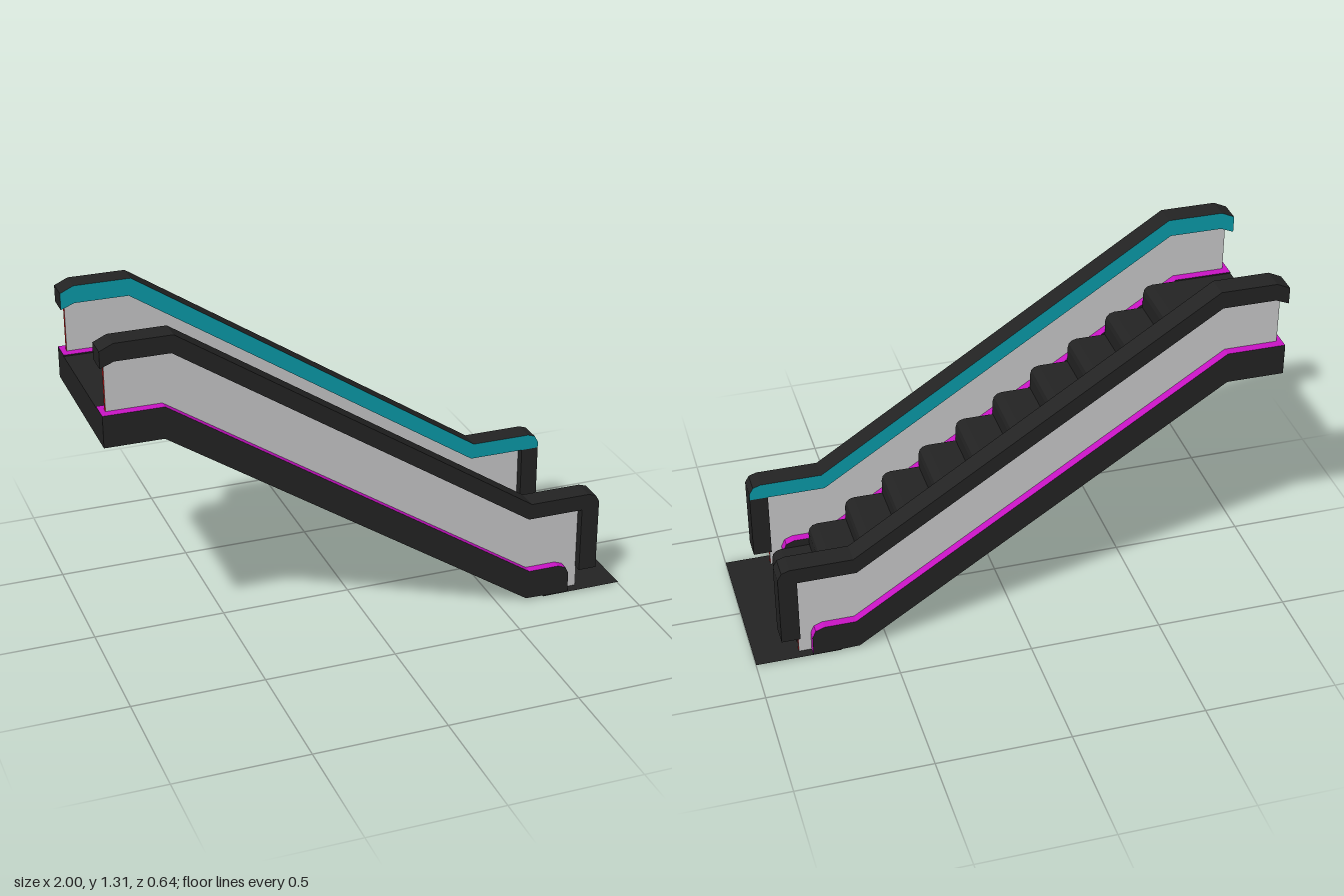
import * as THREE from 'three';

const flat = (name, color) => {
  const m = new THREE.MeshStandardMaterial({ color, side: THREE.DoubleSide });
  m.name = name;
  return m;
};

// Strip of flat quads following a list of [x, y] points, spanning z0..z1
function strip(pts, z0, z1) {
  const pos = [];
  for (let i = 0; i + 1 < pts.length; i++) {
    const [ax, ay] = pts[i], [bx, by] = pts[i + 1];
    pos.push(ax, ay, z1, bx, by, z0, bx, by, z1);
    pos.push(ax, ay, z1, ax, ay, z0, bx, by, z0);
  }
  const g = new THREE.BufferGeometry();
  g.setAttribute('position', new THREE.Float32BufferAttribute(pos, 3));
  g.computeVertexNormals();
  return g;
}

// Upright face with the given outline at depth z
function face(pts, z) {
  const shape = new THREE.Shape(pts.map(([x, y]) => new THREE.Vector2(x, y)));
  return new THREE.ShapeGeometry(shape).translate(0, 0, z);
}

export function createModel() {
  const dark = flat('charcoal', 0x232323);
  const grey = flat('panelGrey', 0xc6c6c8);
  const magenta = flat('magenta', 0xc814c4);
  const teal = flat('teal', 0x0a9aa8);
  const red = flat('red', 0xc81e1e);

  const model = new THREE.Group();
  model.name = 'escalator';
  const add = (parent, name, geometry, material) => {
    const mesh = new THREE.Mesh(geometry, material);
    mesh.name = name;
    parent.add(mesh);
  };

  // Prism whose edges (numbered along the outline, counter-clockwise) carry
  // their own materials; edgeMat(i) gives the material of edge i
  function prism(parent, name, pts, zIn, zOut, inner, outer, edgeMat) {
    const group = new THREE.Group();
    group.name = name;
    add(group, name + 'InnerFace', face(pts, zIn), inner);
    add(group, name + 'OuterFace', face(pts, zOut), outer);
    pts.forEach((p, i) => {
      const q = pts[(i + 1) % pts.length];
      const geometry = strip([p, q], Math.min(zIn, zOut), Math.max(zIn, zOut));
      add(group, name + 'Edge', geometry, edgeMat(i));
    });
    parent.add(group);
  }

  const skirt = [
    [-1, 0.925], [-0.785, 0.925], [0.61, 0.01], [0.785, 0.005], [0.785, 0.085],
    [0.772, 0.113], [0.74, 0.125], [0.62, 0.125], [-0.78, 1.045], [-1, 1.045],
  ];
  const panel = [
    [-0.98, 1.0], [-0.78, 1.0], [0.61, 0], [0.833, 0],
    [0.833, 0.38], [0.62, 0.38], [-0.75, 1.27], [-0.98, 1.27],
  ];
  const rail = [
    [-1, 1.22], [-0.95, 1.24], [-0.75, 1.24], [0.61, 0.35], [0.83, 0.35], [0.9, 0.35],
    [0.9, 0.375], [0.885, 0.402], [0.855, 0.412], [0.62, 0.412],
    [-0.74, 1.306], [-0.95, 1.306], [-1, 1.283],
  ];
  const post = [[0.83, 0.09], [0.9, 0.09], [0.9, 0.35], [0.83, 0.35]];

  // Both balustrades: skirt, panel, handrail and its turned-down end
  for (const side of [1, -1]) {
    const zMid = side > 0 ? 0.271 : -0.2755;
    const zIn = zMid - side * 0.043, zOut = zMid + side * 0.043;
    const balustrade = new THREE.Group();
    balustrade.name = side > 0 ? 'frontBalustrade' : 'backBalustrade';
    prism(balustrade, 'skirt', skirt, zIn, zOut, dark, dark,
      (i) => (i >= 3 && i <= 8 ? magenta : dark));
    prism(balustrade, 'sidePanel', panel, zMid - side * 0.009, zMid + side * 0.009, grey, grey,
      (i) => (i === 3 || i === 7 ? red : grey));
    prism(balustrade, 'handrail', rail, zIn, zOut, teal, dark,
      (i) => (i <= 3 ? magenta : dark));
    prism(balustrade, 'handrailPost', post, zIn, zOut, dark, dark, () => dark);
    model.add(balustrade);
  }

  // Landing and stairs: one folded sheet with rounded step noses
  const run = 0.148, rise = 0.0945, steps = 11;
  const path = [[-1, 1.04]];
  for (let i = 0; i < steps; i++) {
    const x = -0.65 + i * run, y = 1.04 - i * rise;
    path.push([x - 0.035, y], [x - 0.016, y - 0.005], [x - 0.005, y - 0.016],
      [x, y - 0.035], [x, Math.max(y - rise, 0.006)]);
  }
  add(model, 'steps', strip(path, -0.2325, 0.228), dark);

  // Upper end plate closing the landing
  add(model, 'landingEnd', strip([[-1, 0.925], [-1, 1.04]], -0.32, 0.314), dark);

  // Thin floor plate at the foot
  add(model, 'floorPlate', strip([[0.68, 0.006], [1, 0.006]], -0.32, 0.318), dark);

  return model;
}
